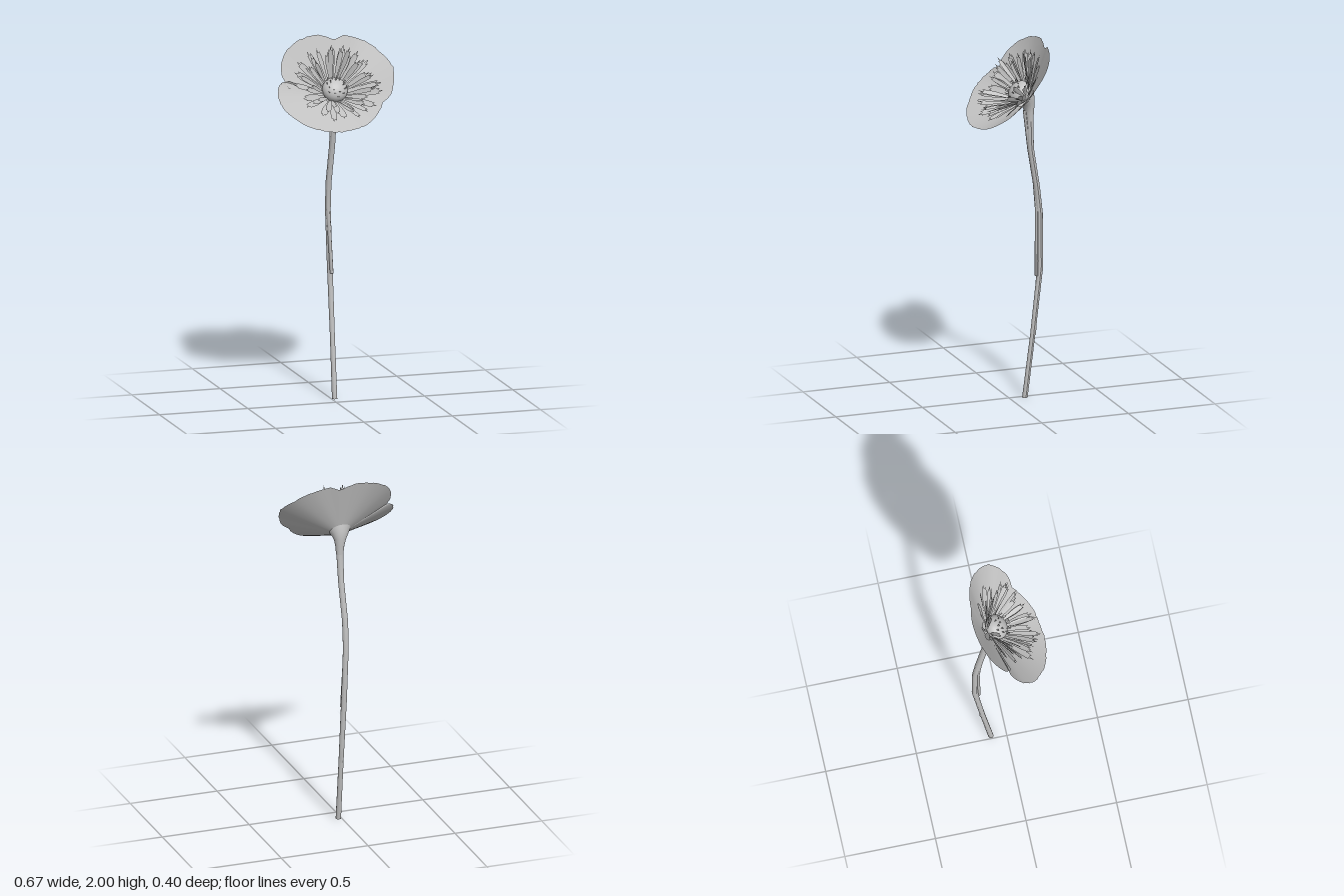
import * as THREE from 'three';
import { mergeGeometries } from 'three/addons/utils/BufferGeometryUtils.js';

const grey = new THREE.MeshStandardMaterial({ color: 0xc2c2c2, side: THREE.DoubleSide });
grey.name = 'soft grey';

const HEAD = new THREE.Vector3(0.01, 1.69, -0.09); // base of the bloom
const TILT = 0.71; // bloom axis leans back by this from +z

let seed = 7;
const rand = () => (seed = (seed * 16807) % 2147483647) / 2147483647;

// Surface from rows of points, all rows equally long
function loft(rows) {
  const n = rows[0].length, idx = [];
  for (let i = 0; i < rows.length - 1; i++) {
    for (let j = 0; j < n - 1; j++) {
      const a = i * n + j, b = a + n;
      idx.push(a, b, a + 1, b, b + 1, a + 1);
    }
  }
  const g = new THREE.BufferGeometry().setFromPoints(rows.flat());
  g.setIndex(idx);
  g.computeVertexNormals();
  return g;
}

// Round sweep; each section is [x, y, z, radius, lean of the ring towards +z]
function sweep(sections, sides) {
  return loft(sections.map(([x, y, z, r, lean = 0]) => {
    const ring = [];
    for (let j = 0; j <= sides; j++) {
      const a = -j / sides * Math.PI * 2, s = Math.sin(a) * r;
      ring.push(new THREE.Vector3(x + Math.cos(a) * r, y - Math.sin(lean) * s, z + Math.cos(lean) * s));
    }
    return ring;
  }));
}

function add(parent, name, geometry) {
  const mesh = new THREE.Mesh(geometry, grey);
  mesh.name = name;
  parent.add(mesh);
  return mesh;
}

// Large petal: runs from the calyx ring out to a slightly ragged rim
function petal(rim) {
  const edge = new THREE.CatmullRomCurve3(rim.map(p => new THREE.Vector3(...p))).getPoints(64);
  const rows = Array.from({ length: 7 }, () => []);
  edge.forEach(p => {
    const q = p.clone().sub(HEAD).applyAxisAngle(new THREE.Vector3(1, 0, 0), TILT);
    const inner = new THREE.Vector3(q.x, q.y, 0).setLength(0.06);
    inner.applyAxisAngle(new THREE.Vector3(1, 0, 0), -TILT).add(HEAD);
    const ragged = 0.985 + rand() * 0.02;
    rows.forEach((row, i) => row.push(inner.clone().lerp(p, i / 6 * ragged)));
  });
  return loft(rows);
}

// Narrow floret with a toothed tip, curved across its width
function floret(length, w, start, rise, angle, twist) {
  const half = [[0.25, 0], [0.6, 0.3], [1, 0.62], [0.95, 0.78], [0.75, 0.92], [0.4, 0.86]];
  const outline = [...half, [0, 1], ...half.slice().reverse().map(([x, y]) => [-x, y])];
  const g = new THREE.ShapeGeometry(new THREE.Shape(
    outline.map(([x, y]) => new THREE.Vector2(x * w, y * length))));
  const pos = g.attributes.position;
  for (let i = 0; i < pos.count; i++) {
    const x = pos.getX(i) / w, y = pos.getY(i) / length;
    pos.setZ(i, 0.006 * x * x + 0.012 * y * y);
  }
  g.computeVertexNormals();
  const turn = new THREE.Matrix4().makeRotationFromEuler(new THREE.Euler(rise, twist, angle, 'ZXY'));
  turn.setPosition(-Math.sin(angle) * start, Math.cos(angle) * start, 0.015);
  return g.applyMatrix4(turn);
}

function floretRing(count, length, width, start, rise, offset) {
  const list = [];
  for (let i = 0; i < count; i++) {
    const angle = (i + offset + (rand() - 0.5) * 0.4) / count * Math.PI * 2;
    list.push(floret(length * (0.85 + rand() * 0.25), width * (0.85 + rand() * 0.3), start,
      rise + (rand() - 0.5) * 0.12, angle, (rand() - 0.5) * 0.7));
  }
  return mergeGeometries(list);
}

export function createModel() {
  const flower = new THREE.Group();
  flower.name = 'flower';

  // Bent stem and the thin strips that cling to it
  add(flower, 'stem', sweep([
    [0.018, 0, -0.085, 0.001], [0.018, 0, -0.085, 0.015], [0.019, 0.35, -0.13, 0.014],
    [0.018, 0.73, -0.174, 0.016], [0.008, 1.03, -0.175, 0.016], [0.006, 1.18, -0.158, 0.017],
    [0.015, 1.4, -0.12, 0.017], [0.02, 1.58, -0.112, 0.02],
  ], 10));
  add(flower, 'frontStrip', sweep([
    [0.022, 0.68, -0.15, 0.001], [0.022, 0.68, -0.15, 0.01], [0.004, 1.05, -0.16, 0.011],
    [0.002, 1.2, -0.148, 0.011], [0.012, 1.4, -0.112, 0.011], [0.02, 1.62, -0.085, 0.012],
  ], 6));
  add(flower, 'lowerStrip', sweep([
    [0.019, 0.35, -0.137, 0.001], [0.019, 0.35, -0.137, 0.011], [0.018, 0.73, -0.165, 0.011],
    [0.01, 0.9, -0.17, 0.008],
  ], 6));

  // Calyx flaring from the stem into the bloom
  add(flower, 'calyx', sweep([
    [0.02, 1.56, -0.112, 0.02], [0.019, 1.61, -0.111, 0.025, 0.1], [0.016, 1.645, -0.108, 0.034, 0.35],
    [0.013, 1.67, -0.1, 0.047, 0.62], [0.01, 1.69, -0.09, 0.06, Math.PI / 2 - TILT],
  ], 24));

  // Two broad overlapping petals
  add(flower, 'upperPetal', petal([
    [-0.26, 1.75, -0.03], [-0.29, 1.83, -0.07], [-0.25, 1.92, -0.135], [-0.15, 1.98, -0.185],
    [-0.03, 1.995, -0.2], [0.05, 1.968, -0.188], [0.1, 1.988, -0.185], [0.2, 1.96, -0.16],
    [0.285, 1.9, -0.105], [0.332, 1.83, -0.03], [0.318, 1.76, 0.03], [0.29, 1.7, 0.068], [0.23, 1.655, 0.08],
  ]));
  add(flower, 'lowerPetal', petal([
    [0.26, 1.7, 0.04], [0.23, 1.645, 0.09], [0.15, 1.58, 0.16], [0.05, 1.55, 0.19],
    [-0.08, 1.545, 0.2], [-0.2, 1.575, 0.17], [-0.28, 1.62, 0.125], [-0.325, 1.67, 0.075],
    [-0.335, 1.73, 0.01], [-0.3, 1.78, -0.04], [-0.25, 1.785, -0.05],
  ]));

  // Rings of florets around the domed centre
  const bloom = new THREE.Group();
  bloom.name = 'bloomCentre';
  bloom.position.copy(HEAD);
  bloom.rotation.x = -TILT;
  flower.add(bloom);
  add(bloom, 'outerFlorets', floretRing(20, 0.215, 0.018, 0.05, 0.47, 0));
  add(bloom, 'middleFlorets', floretRing(16, 0.21, 0.016, 0.045, 0.62, 0.5));
  add(bloom, 'innerFlorets', floretRing(12, 0.22, 0.013, 0.045, 0.8, 0.2));
  add(bloom, 'dome', new THREE.SphereGeometry(0.07, 24, 16).scale(1, 1, 0.75)).position.z = 0.045;

  // Tiny scales dotted over the dome
  const scales = [];
  for (let i = 0; i < 18; i++) {
    const a = i * 2.4, r = 0.03 + 0.03 * (i / 18);
    const z = 0.045 + 0.0525 * Math.sqrt(1 - (r / 0.07) ** 2);
    scales.push(floret(0.02, 0.005, r, 0.5, a, 0).translate(0, 0, z - 0.017));
  }
  add(bloom, 'domeScales', mergeGeometries(scales));

  return flower;
}
